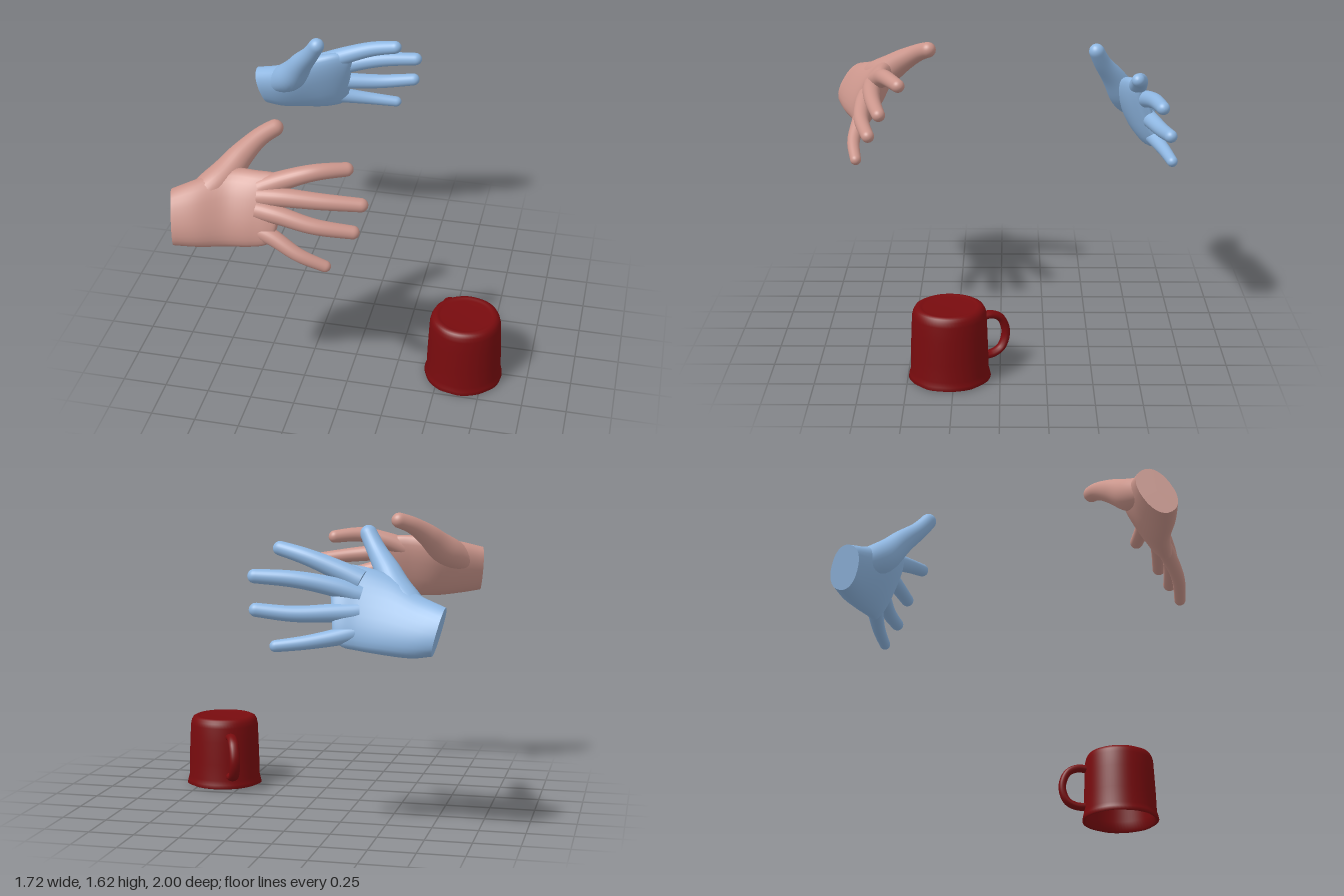
import * as THREE from 'three';

const V = (p) => new THREE.Vector3(...p);
const spline = (pts) => new THREE.CatmullRomCurve3(pts.map(V));
const SIDES = 28;

// Skins a list of closed rings (counter-clockwise about the travel direction) and caps both ends.
function loft(rings) {
  const pos = [], index = [];
  const n = rings[0].length;
  rings.forEach((ring) => ring.forEach((p) => pos.push(p.x, p.y, p.z)));
  for (let i = 0; i < rings.length - 1; i++) {
    for (let j = 0; j < n; j++) {
      const a = i * n + j, b = i * n + ((j + 1) % n);
      index.push(a, b, a + n, b, b + n, a + n);
    }
  }
  const cap = (ring, flip) => {
    const base = pos.length / 3;
    const c = ring.reduce((s, p) => s.add(p), new THREE.Vector3()).divideScalar(n);
    [...ring, c].forEach((p) => pos.push(p.x, p.y, p.z));
    for (let j = 0; j < n; j++) {
      const a = base + j, b = base + ((j + 1) % n);
      index.push(base + n, flip ? b : a, flip ? a : b);
    }
  };
  cap(rings[0], true);
  cap(rings[rings.length - 1], false);
  const g = new THREE.BufferGeometry();
  g.setAttribute('position', new THREE.Float32BufferAttribute(pos, 3));
  g.setIndex(index);
  g.computeVertexNormals();
  return g;
}

// Palm: each section is [little-finger edge, thumb edge, half thickness].
function palmGeometry(sections, skew) {
  const edgeA = spline(sections.map((s) => s[0]));
  const edgeB = spline(sections.map((s) => s[1]));
  const thick = spline(sections.map((s) => [s[2], s[0][0], 0]));
  const rings = [];
  const rows = 36;
  for (let i = 0; i <= rows; i++) {
    const u = i / rows;
    const a = edgeA.getPoint(u), b = edgeB.getPoint(u), t = thick.getPoint(u).x;
    const mid = a.clone().add(b).multiplyScalar(0.5);
    const half = b.clone().sub(a).multiplyScalar(0.5);
    const normal = new THREE.Vector3(0, a.z - b.z, b.y - a.y).normalize();
    normal.x = skew * (1 - u);
    const ring = [];
    for (let j = 0; j < SIDES; j++) {
      const q = (j / SIDES) * Math.PI * 2;
      const soft = (v) => Math.sign(v) * Math.abs(v) ** 0.88;
      ring.push(mid.clone().addScaledVector(half, soft(Math.cos(q)))
        .addScaledVector(normal, t * soft(Math.sin(q))));
    }
    rings.push(ring);
  }
  return loft(rings);
}

// Finger or thumb: a tapering tube with a rounded tip.
function digitGeometry(points, radii) {
  const pts = points.map(V);
  const last = pts[pts.length - 1];
  const dir = last.clone().sub(pts[pts.length - 2]).normalize();
  last.addScaledVector(dir, radii[radii.length - 1] * 0.8);
  const path = new THREE.CatmullRomCurve3(pts);
  const size = spline(radii.map((r, i) => [r, i, 0]));
  const length = path.getLength();
  const rings = [];
  const rows = 32;
  for (let i = 0; i <= rows; i++) {
    const u = 1 - (1 - i / rows) ** 2;
    const c = path.getPointAt(u), t = path.getTangentAt(u);
    let r = size.getPoint(u).x;
    const d = (1 - u) * length;
    if (d < r) r *= Math.sqrt(Math.max(0.0004, 1 - (1 - d / r) ** 2));
    const up = new THREE.Vector3(0, 1, 0).addScaledVector(t, -t.y).normalize();
    const side = t.clone().cross(up);
    const ring = [];
    for (let j = 0; j < SIDES; j++) {
      const q = (j / SIDES) * Math.PI * 2;
      ring.push(c.clone().addScaledVector(up, r * Math.cos(q)).addScaledVector(side, r * Math.sin(q)));
    }
    rings.push(ring);
  }
  return loft(rings);
}

const DIGIT_RADII = {
  thumb: [0.07, 0.09, 0.072, 0.052, 0.043],
  indexFinger: [0.058, 0.046, 0.036],
  middleFinger: [0.054, 0.045, 0.036],
  ringFinger: [0.052, 0.043, 0.035],
  littleFinger: [0.05, 0.038, 0.03],
};

function makeHand(name, material, spec) {
  const hand = new THREE.Group();
  hand.name = name;
  const add = (part, geometry) => {
    const m = new THREE.Mesh(geometry, material);
    m.name = part;
    hand.add(m);
  };
  add('palm', palmGeometry(spec.palm, spec.skew));
  for (const [part, radii] of Object.entries(DIGIT_RADII)) add(part, digitGeometry(spec[part], radii));
  return hand;
}

const FRONT_HAND = {
  skew: 0.2,
  palm: [
    [[-0.8, 1.14, 0.965], [-0.84, 1.39, 0.82], 0.08],
    [[-0.68, 1.12, 0.925], [-0.72, 1.425, 0.755], 0.085],
    [[-0.55, 1.105, 0.87], [-0.57, 1.46, 0.67], 0.08],
    [[-0.42, 1.105, 0.845], [-0.42, 1.47, 0.68], 0.068],
    [[-0.34, 1.125, 0.835], [-0.32, 1.465, 0.68], 0.054],
    [[-0.3, 1.18, 0.82], [-0.265, 1.44, 0.695], 0.03],
    [[-0.295, 1.22, 0.805], [-0.255, 1.41, 0.71], 0.008],
  ],
  thumb: [[-0.74, 1.31, 0.83], [-0.62, 1.39, 0.7], [-0.535, 1.485, 0.575], [-0.455, 1.55, 0.475], [-0.385, 1.58, 0.415]],
  indexFinger: [[-0.4, 1.39, 0.72], [-0.28, 1.435, 0.69], [-0.13, 1.475, 0.65], [0.03, 1.465, 0.565]],
  middleFinger: [[-0.4, 1.36, 0.75], [-0.27, 1.365, 0.745], [-0.08, 1.35, 0.72], [0.13, 1.325, 0.67]],
  ringFinger: [[-0.4, 1.3, 0.785], [-0.28, 1.285, 0.795], [-0.1, 1.24, 0.79], [0.1, 1.195, 0.735]],
  littleFinger: [[-0.42, 1.2, 0.805], [-0.31, 1.165, 0.825], [-0.17, 1.09, 0.845], [-0.03, 1.02, 0.82]],
};

const BACK_HAND = {
  skew: 0.05,
  palm: [
    [[-0.8, 0.985, -0.9], [-0.86, 1.22, -0.82], 0.08],
    [[-0.7, 0.975, -0.905], [-0.72, 1.27, -0.765], 0.085],
    [[-0.55, 0.985, -0.9], [-0.57, 1.36, -0.72], 0.08],
    [[-0.42, 1.0, -0.89], [-0.42, 1.41, -0.73], 0.068],
    [[-0.34, 1.02, -0.9], [-0.32, 1.42, -0.755], 0.054],
    [[-0.3, 1.07, -0.9], [-0.265, 1.39, -0.775], 0.03],
    [[-0.295, 1.11, -0.885], [-0.255, 1.36, -0.79], 0.008],
  ],
  thumb: [[-0.74, 1.15, -0.83], [-0.61, 1.26, -0.735], [-0.53, 1.385, -0.66], [-0.455, 1.49, -0.59], [-0.405, 1.575, -0.55]],
  indexFinger: [[-0.42, 1.34, -0.79], [-0.3, 1.395, -0.79], [-0.13, 1.46, -0.785], [0.02, 1.5, -0.76]],
  middleFinger: [[-0.42, 1.27, -0.81], [-0.3, 1.31, -0.835], [-0.1, 1.35, -0.87], [0.12, 1.365, -0.895]],
  ringFinger: [[-0.42, 1.19, -0.84], [-0.3, 1.185, -0.87], [-0.1, 1.18, -0.915], [0.1, 1.2, -0.945]],
  littleFinger: [[-0.42, 1.09, -0.86], [-0.31, 1.065, -0.9], [-0.17, 1.04, -0.94], [-0.01, 1.02, -0.97]],
};

// Upside-down mug: hollow body with a slightly uneven wall, and a loop handle.
function makeMug(material) {
  const mug = new THREE.Group();
  mug.name = 'mug';
  const profile = [
    [0, 0.375], [0.15, 0.375], [0.168, 0.36], [0.18, 0.3], [0.188, 0.06], [0.2, 0.01], [0.212, 0],
    [0.222, 0.005], [0.218, 0.025], [0.211, 0.05], [0.209, 0.15], [0.204, 0.28], [0.2, 0.36],
    [0.194, 0.385], [0.184, 0.402], [0.168, 0.41], [0.152, 0.409], [0.14, 0.402], [0, 0.4],
  ].map(([r, y]) => new THREE.Vector2(r, y));
  const geometry = new THREE.LatheGeometry(profile, 64);
  const pos = geometry.attributes.position;
  for (let i = 0; i < pos.count; i++) {
    const x = pos.getX(i), y = pos.getY(i), z = pos.getZ(i);
    const q = Math.atan2(x, z);
    const amount = y < 0.04 ? 0.014 : 0.006;
    const k = 1 + amount * (Math.sin(7 * q + y * 9) + 0.6 * Math.sin(12 * q + 1)) * 0.6;
    pos.setXYZ(i, x * k, y, z * k);
  }
  const body = new THREE.Mesh(geometry, material);
  body.name = 'mugBody';
  const loop = spline([
    [0.19, 0.31, 0], [0.25, 0.312, 0], [0.305, 0.285, 0], [0.337, 0.22, 0],
    [0.336, 0.16, 0], [0.308, 0.105, 0], [0.255, 0.08, 0], [0.19, 0.08, 0],
  ]);
  const handle = new THREE.Mesh(new THREE.TubeGeometry(loop, 48, 0.022, 12), material);
  handle.name = 'mugHandle';
  handle.scale.z = 1.4;
  handle.rotation.y = 2.04;
  mug.add(body, handle);
  mug.position.set(0.634, 0, 0.273);
  return mug;
}

export function createModel() {
  const paint = (name, color) => {
    const m = new THREE.MeshStandardMaterial({ color });
    m.name = name;
    return m;
  };
  const model = new THREE.Group();
  model.name = 'handsAndMug';
  model.add(
    makeHand('frontHand', paint('dusty pink', 0xcb968c), FRONT_HAND),
    makeHand('backHand', paint('sky blue', 0x8fb7e2), BACK_HAND),
    makeMug(paint('dark red', 0x780b0e)),
  );
  return model;
}
